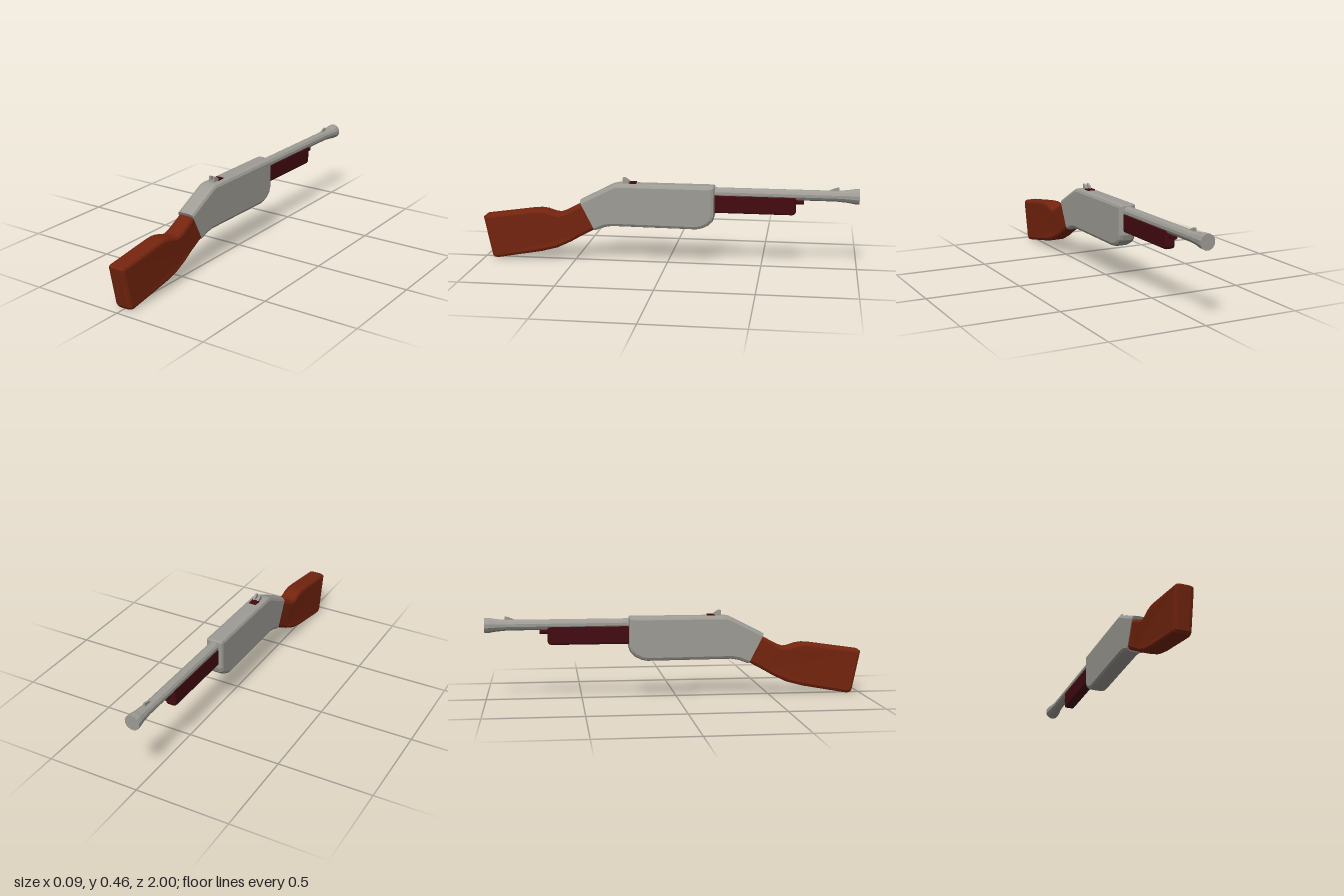
import * as THREE from 'three';

const steel = new THREE.MeshStandardMaterial({ color: 0x9e9c95 });
steel.name = 'steel grey';
const wood = new THREE.MeshStandardMaterial({ color: 0x74240e });
wood.name = 'reddish wood';
const darkWood = new THREE.MeshStandardMaterial({ color: 0x430b11 });
darkWood.name = 'dark red';

function add(group, name, geometry, material) {
  const flat = geometry.index ? geometry.toNonIndexed() : geometry;
  flat.computeVertexNormals();
  const mesh = new THREE.Mesh(flat, material);
  mesh.name = name;
  group.add(mesh);
  return mesh;
}

// Extrude a side profile of [z, y] points across x, keeping the outline at full size
function slab(points, width, bevel, segments = 2) {
  const shape = new THREE.Shape(points.map(([z, y]) => new THREE.Vector2(z, y)));
  const geometry = new THREE.ExtrudeGeometry(shape, {
    depth: width - 2 * bevel,
    bevelEnabled: bevel > 0,
    bevelThickness: bevel,
    bevelSize: bevel * 0.8,
    bevelOffset: -bevel * 0.8,
    bevelSegments: segments,
  });
  return geometry.translate(0, 0, -(width - 2 * bevel) / 2).rotateY(-Math.PI / 2);
}

// Slanted joint between receiver and stock
const JOINT_TOP = [0.467, 0.331];
const JOINT_LOW = [0.385, 0.171];

// Flatten the bevel onto the joint plane
function flattenAtJoint(geometry) {
  const dz = JOINT_TOP[0] - JOINT_LOW[0], dy = JOINT_TOP[1] - JOINT_LOW[1];
  const len = Math.hypot(dz, dy), nz = dy / len, ny = -dz / len;
  const p = geometry.attributes.position;
  for (let i = 0; i < p.count; i++) {
    const s = (p.getZ(i) - JOINT_TOP[0]) * nz + (p.getY(i) - JOINT_TOP[1]) * ny;
    if (Math.abs(s) < 0.025) {
      p.setZ(i, p.getZ(i) - s * nz);
      p.setY(i, p.getY(i) - s * ny);
    }
  }
  return geometry;
}

export function createModel() {
  const model = new THREE.Group();
  model.name = 'longToy';

  // Receiver body
  add(model, 'receiver', flattenAtJoint(slab([
    JOINT_LOW, JOINT_TOP, [0.29, 0.422], [0.262, 0.429], [-0.245, 0.429], [-0.252, 0.42],
    [-0.252, 0.268], [-0.243, 0.24], [-0.218, 0.216], [-0.185, 0.2], [-0.155, 0.194], [0.295, 0.197],
    [0.335, 0.19],
  ], 0.095, 0.022)), steel);

  // Stock, with a slightly narrower neck where it meets the receiver
  const stock = flattenAtJoint(slab([
    [0.391, 0.176], [0.459, 0.316], [0.55, 0.267], [0.58, 0.257], [0.605, 0.26], [0.65, 0.274], [0.685, 0.278],
    [0.73, 0.274], [0.988, 0.237], [1, 0.226], [0.957, 0.018], [0.947, 0.004], [0.93, 0], [0.68, 0.045],
    [0.595, 0.068], [0.52, 0.104], [0.475, 0.13],
  ], 0.095, 0.02));
  const p = stock.attributes.position;
  for (let i = 0; i < p.count; i++) if (p.getZ(i) < 0.5) p.setX(i, p.getX(i) * 0.93);
  add(model, 'stock', stock, wood);

  // Barrel with a flared, closed end
  const profile = [[0, 0.2], [0.028, 0.2], [0.028, 0.88], [0.033, 0.94], [0.039, 0.975], [0.04, 1], [0, 1]];
  const barrel = new THREE.LatheGeometry(profile.map(([r, l]) => new THREE.Vector2(r, l)), 12, Math.PI / 12);
  add(model, 'barrel', barrel.rotateX(-Math.PI / 2).translate(0, 0.391, 0), steel);

  // Fore grip and the short rod at its tip
  add(model, 'foreGrip', slab([
    [-0.22, 0.285], [-0.22, 0.385], [-0.676, 0.385], [-0.676, 0.302], [-0.67, 0.29], [-0.658, 0.285],
  ], 0.054, 0.012), darkWood);
  const rod = new THREE.CylinderGeometry(0.014, 0.014, 0.07, 10).rotateX(Math.PI / 2);
  add(model, 'foreGripTip', rod.translate(0, 0.355, -0.681), darkWood);

  // Front sight blade
  add(model, 'frontSight', slab([[-0.835, 0.414], [-0.895, 0.414], [-0.895, 0.437], [-0.875, 0.433]], 0.009, 0), steel);

  // Rear sight: dark base, grey leaf and a notch between two posts
  const rearSight = new THREE.Group();
  rearSight.name = 'rearSight';
  model.add(rearSight);
  add(rearSight, 'sightBase', new THREE.BoxGeometry(0.04, 0.012, 0.04).translate(0, 0.429, 0.186), darkWood);
  add(rearSight, 'sightLeaf', new THREE.BoxGeometry(0.034, 0.012, 0.032).translate(0, 0.43, 0.222), steel);
  for (const side of [-1, 1]) {
    const post = slab([[0.2, 0.434], [0.238, 0.434], [0.238, 0.457], [0.226, 0.456], [0.205, 0.443]], 0.011, 0);
    add(rearSight, side > 0 ? 'leftPost' : 'rightPost', post.translate(side * 0.0115, 0, 0), steel);
  }
  return model;
}
